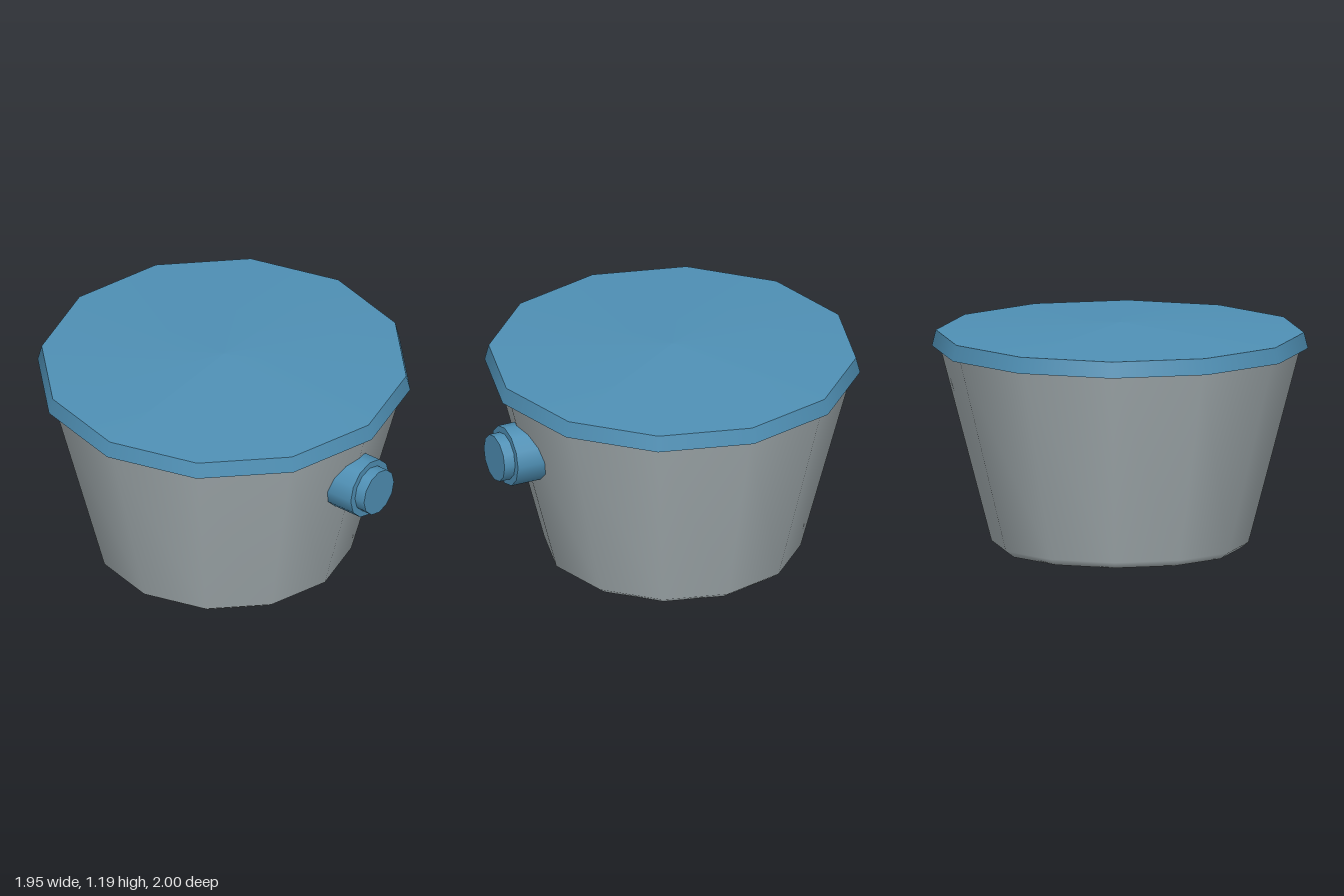
import * as THREE from 'three';

const SIDES = 12;
const AXIS_Z = -0.024; // bucket axis, offset so the spout fits the depth

const blue = new THREE.MeshStandardMaterial({ color: 0x4f90b5 });
blue.name = 'lidBlue';
const grey = new THREE.MeshStandardMaterial({ color: 0xa8b2b5 });
grey.name = 'bucketGrey';

// Turned surface with 12 sides, smooth along its profile
function turned(name, profile, material) {
  const points = profile.map(([r, y]) => new THREE.Vector2(r, y));
  const mesh = new THREE.Mesh(new THREE.LatheGeometry(points, SIDES), material);
  mesh.name = name;
  mesh.position.z = AXIS_Z;
  return mesh;
}

// Horizontal cylinder pointing to the front
function spoutRing(name, radius, back, front) {
  const geometry = new THREE.CylinderGeometry(radius, radius, front - back, SIDES);
  geometry.rotateX(Math.PI / 2);
  const mesh = new THREE.Mesh(geometry, blue);
  mesh.name = name;
  mesh.position.set(0, 0.748, (front + back) / 2);
  return mesh;
}

export function createModel() {
  const model = new THREE.Group();
  model.name = 'bucket';

  // Tapered body with a soft bottom edge
  model.add(turned('body', [[0, 0], [0.62, 0], [0.667, 0.035], [0.935, 1.057]], grey));

  // Lid in three surfaces so its edges stay sharp
  const lid = new THREE.Group();
  lid.name = 'lid';
  lid.add(
    turned('lidUnderside', [[0, 1.057], [0.976, 1.057]], blue),
    turned('lidRim', [[0.976, 1.057], [0.955, 1.14]], blue),
    turned('lidTop', [[0.955, 1.14], [0, 1.187]], blue)
  );
  model.add(lid);

  // Stepped spout on the front
  const spout = new THREE.Group();
  spout.name = 'spout';
  spout.add(
    spoutRing('spoutCollar', 0.16, 0.72, 0.94),
    spoutRing('spoutCap', 0.125, 0.9, 1)
  );
  model.add(spout);

  return model;
}
